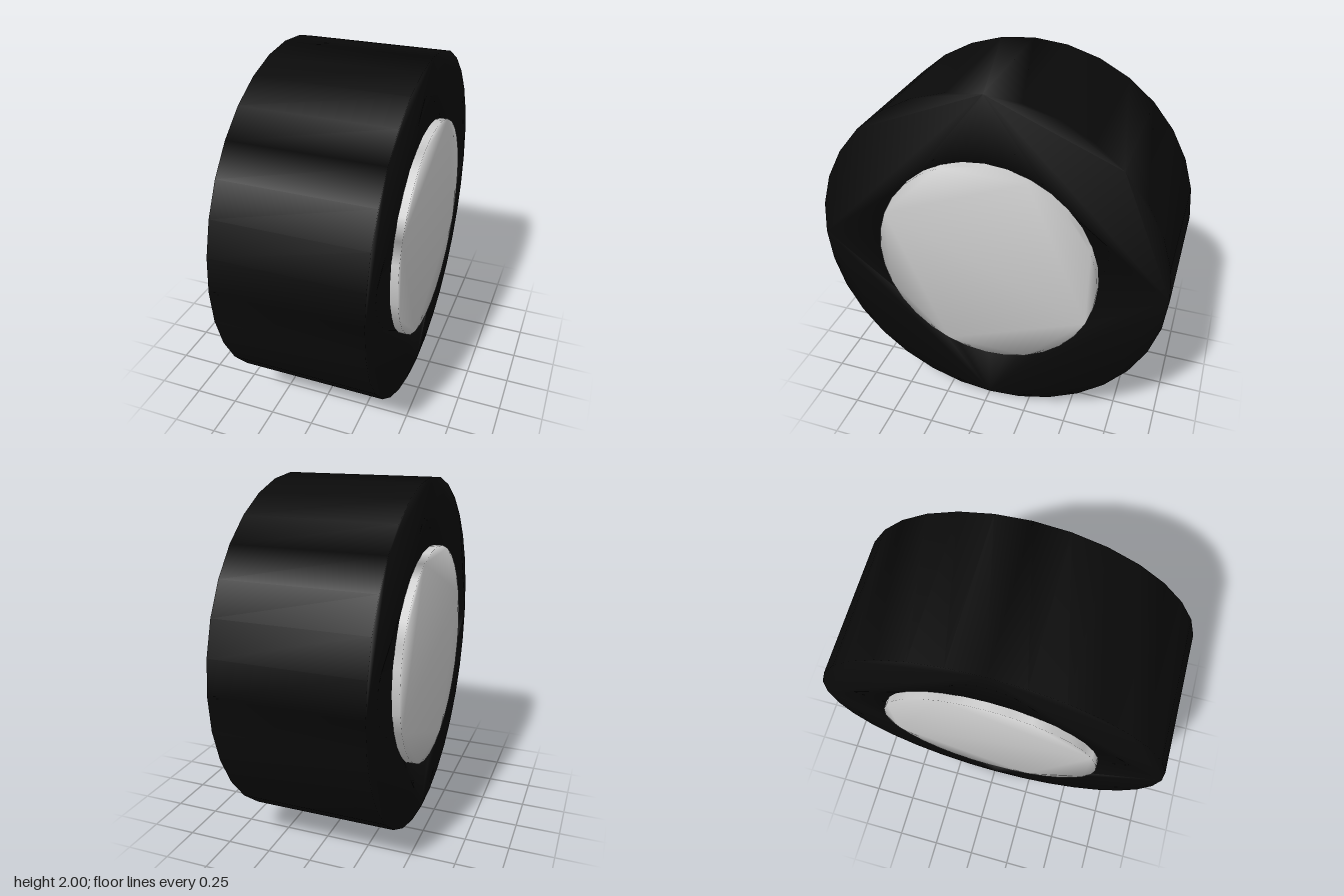
import * as THREE from 'three';
import { mergeVertices } from 'three/addons/utils/BufferGeometryUtils.js';

const SIDES = 32;

// Points of a regular polygon with a corner at the top
function ring(radius) {
  return Array.from({ length: SIDES }, (_, i) => {
    const a = (i / SIDES) * Math.PI * 2;
    return new THREE.Vector2(Math.cos(a) * radius, Math.sin(a) * radius);
  });
}

// Disc (or annulus) along the x axis, with normals shared across its rims
function disc(radius, width, holeRadius) {
  const shape = new THREE.Shape(ring(radius));
  if (holeRadius) shape.holes.push(new THREE.Path(ring(holeRadius)));
  let geometry = new THREE.ExtrudeGeometry(shape, { depth: width, bevelEnabled: false });
  geometry.translate(0, 0, -width / 2);
  geometry.rotateY(Math.PI / 2);
  geometry.deleteAttribute('normal');
  geometry.deleteAttribute('uv');
  geometry = mergeVertices(geometry, 1e-4);
  geometry.computeVertexNormals();
  return geometry;
}

export function createModel() {
  const wheel = new THREE.Group();
  wheel.name = 'wheel';

  // Broad black tyre
  const rubber = new THREE.MeshStandardMaterial({ color: 0x0a0a0a });
  const tyre = new THREE.Mesh(disc(1, 0.83, 0.615), rubber);
  tyre.name = 'tyre';

  // Hub runs through the tyre and stands slightly proud on both sides
  const metal = new THREE.MeshStandardMaterial({ color: 0xcccccc });
  const hub = new THREE.Mesh(disc(0.627, 0.916), metal);
  hub.name = 'hub';

  for (const part of [tyre, hub]) {
    part.position.y = 1;
    wheel.add(part);
  }
  return wheel;
}
